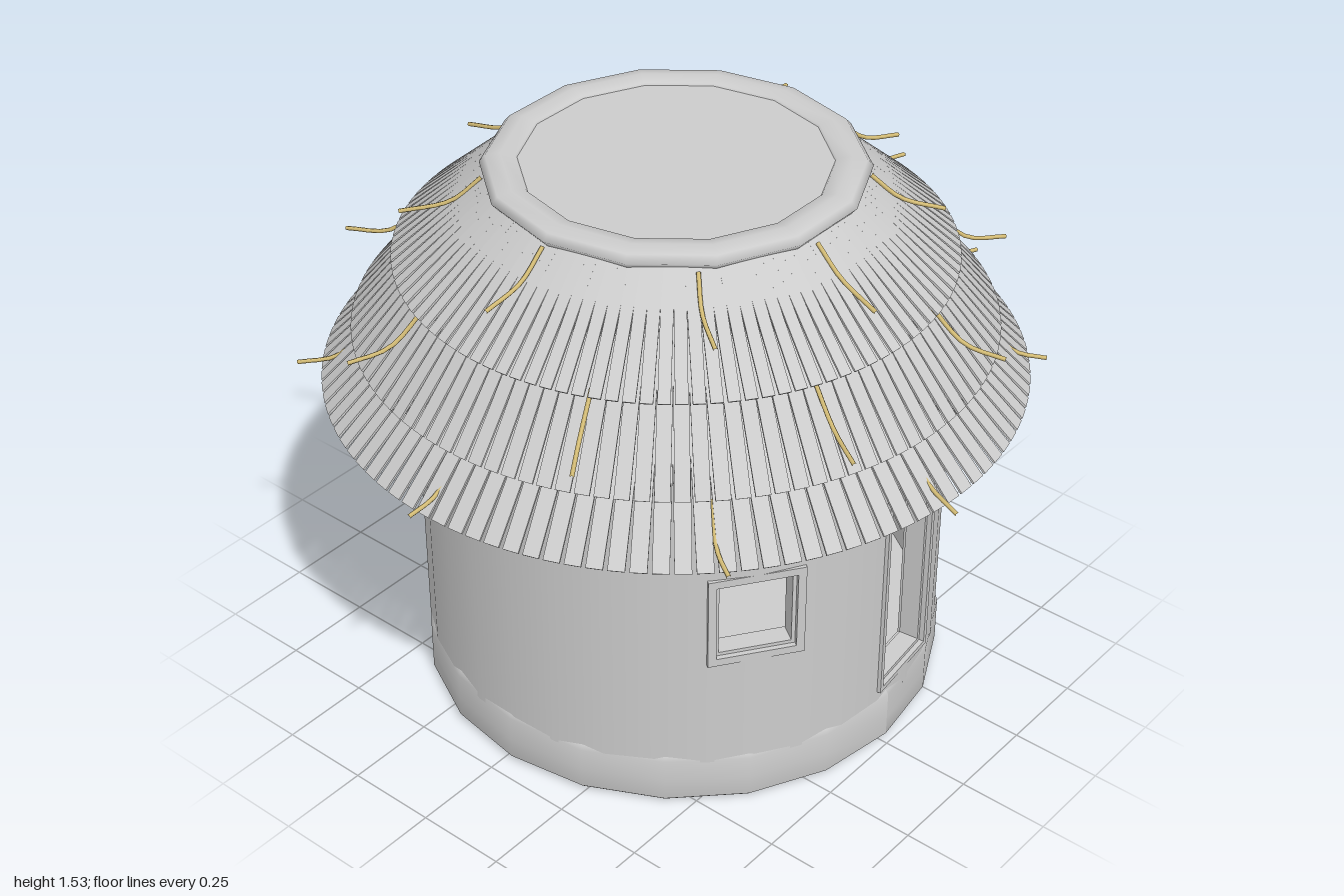
import * as THREE from 'three';
import { mergeGeometries } from 'three/addons/utils/BufferGeometryUtils.js';

const grey = new THREE.MeshStandardMaterial({ color: 0xcccccc, side: THREE.DoubleSide });
const straw = new THREE.MeshStandardMaterial({ color: 0xd8c078 });

const WALL_R = 0.705, INNER_R = 0.655, WALL_Y0 = 0.13, WALL_Y1 = 1.1;

// Openings: angle from the front towards +x, outer frame width, bottom and top
const openings = [
  { name: 'rightWindow', a: -0.61, w: 0.255, y0: 0.46, y1: 0.73, rim: 0.022 },
  { name: 'door', a: 0.12, w: 0.25, y0: 0.18, y1: 0.84, rim: 0.014 },
  { name: 'leftWindow', a: 0.895, w: 0.255, y0: 0.46, y1: 0.73, rim: 0.022 },
];

function add(parent, name, geometry, material = grey) {
  const mesh = new THREE.Mesh(geometry, material);
  mesh.name = name;
  parent.add(mesh);
  return mesh;
}

// Outer and inner skin of a stretch of round wall
function wallPanel(a0, a1, y0, y1) {
  const n = Math.max(2, Math.ceil((a1 - a0) / 0.2));
  return [WALL_R, INNER_R].map(r =>
    new THREE.CylinderGeometry(r, r, y1 - y0, n, 1, true, a0, a1 - a0).translate(0, (y0 + y1) / 2, 0));
}

function buildWall() {
  const parts = [];
  openings.forEach((o, i) => {
    const half = Math.asin(o.w / 2 / WALL_R) - 0.004;
    const next = openings[(i + 1) % openings.length];
    const nextA = next.a + (i === openings.length - 1 ? Math.PI * 2 : 0);
    const nextHalf = Math.asin(next.w / 2 / WALL_R) - 0.004;
    parts.push(...wallPanel(o.a - half, o.a + half, WALL_Y0, o.y0 + 0.004));
    parts.push(...wallPanel(o.a - half, o.a + half, o.y1 - 0.004, WALL_Y1));
    parts.push(...wallPanel(o.a + half, nextA - nextHalf, WALL_Y0, WALL_Y1));
  });
  return mergeGeometries(parts);
}

// Rectangular frame with an open middle, front face at z = front
function frameGeometry(w, h, rim, front, depth) {
  const rect = (path, x, y) => path.moveTo(-x, -y).lineTo(x, -y).lineTo(x, y).lineTo(-x, y).closePath();
  const shape = rect(new THREE.Shape(), w / 2, h / 2);
  shape.holes.push(rect(new THREE.Path(), w / 2 - rim, h / 2 - rim));
  return new THREE.ExtrudeGeometry(shape, { depth, bevelEnabled: false }).translate(0, 0, front - depth);
}

function buildFrame(o) {
  const frame = new THREE.Group();
  frame.name = o.name + 'Frame';
  const h = o.y1 - o.y0;
  add(frame, 'outerFrame', frameGeometry(o.w, h, o.rim, 0.704, 0.08));
  // Stepped inner frame, set back
  const inset = o.rim * 2 - 0.004;
  add(frame, 'innerFrame', frameGeometry(o.w - inset, h - inset, 0.012, 0.69, 0.055));
  frame.position.y = (o.y0 + o.y1) / 2;
  const holder = new THREE.Group();
  holder.name = o.name;
  holder.rotation.y = o.a;
  holder.add(frame);
  return holder;
}

// Plinth ring, open below, with an uneven upper lip
function buildPlinth() {
  const profile = [[0.688, 0.14], [0.685, 0.0], [0.7, 0.0], [0.712, 0.012], [0.712, 0.07], [0.712, 0.14], [0.7, 0.155]]
    .map(([r, y]) => new THREE.Vector2(r, y));
  const geometry = new THREE.LatheGeometry(profile, 20);
  const p = geometry.attributes.position;
  for (let i = 0; i < p.count; i++) {
    const a = Math.atan2(p.getX(i), p.getZ(i));
    if (i % profile.length > 4) p.setY(i, p.getY(i) + 0.006 * Math.sin(3 * a + 1) + 0.004 * Math.cos(7 * a));
  }
  geometry.computeVertexNormals();
  return geometry;
}

// Ring of constant-width slats running down from (r0, y0) to (r1, y1)
function thatchTier({ r0, y0, r1, y1, width }) {
  const count = 110, slats = [];
  const length = Math.hypot(r1 - r0, y0 - y1);
  const slope = Math.atan2(y0 - y1, r1 - r0);
  for (let i = 0; i < count; i++) {
    slats.push(new THREE.BoxGeometry(width, 0.006, length)
      .rotateX(slope)
      .translate(0, (y0 + y1) / 2, (r0 + r1) / 2)
      .rotateY(i / count * Math.PI * 2));
  }
  return mergeGeometries(slats);
}

// Loose stalk that follows the slope and then flares outwards
function stalkGeometry(path, degrees, i) {
  const sway = 0.02 * Math.sin(i * 2.3);
  const curve = new THREE.CatmullRomCurve3(path.map(([r, y], k) =>
    new THREE.Vector3(k === 2 ? sway : 0, y, r + (k === 2 ? 0.012 * Math.sin(i * 4.1) : 0))));
  // Angles are measured from +x towards +z
  return new THREE.TubeGeometry(curve, 8, 0.006, 5).rotateY(Math.PI / 2 - degrees * Math.PI / 180);
}

export function createModel() {
  const model = new THREE.Group();
  model.name = 'thatchedHut';

  // Round body with floor, door and windows
  const body = new THREE.Group();
  body.name = 'body';
  body.position.set(0.02, 0, 0.02);
  add(body, 'wall', buildWall());
  add(body, 'plinth', buildPlinth());
  add(body, 'floor', new THREE.CylinderGeometry(0.69, 0.69, 0.015, 20).translate(0, 0.14, 0));
  openings.forEach(o => body.add(buildFrame(o)));
  model.add(body);

  // Three overlapping thatch tiers
  const roof = new THREE.Group();
  roof.name = 'roof';
  roof.position.set(0.015, 0, 0);
  add(roof, 'upperThatch', thatchTier({ r0: 0.455, y0: 1.505, r1: 0.728, y1: 1.27, width: 0.0315 }));
  add(roof, 'middleThatch', thatchTier({ r0: 0.56, y0: 1.405, r1: 0.842, y1: 1.07, width: 0.038 }));
  add(roof, 'lowerThatch', thatchTier({ r0: 0.62, y0: 1.235, r1: 0.928, y1: 0.923, width: 0.042 }));

  // Flattened crown ring and its lid
  add(roof, 'crownRing', new THREE.TorusGeometry(0.443, 0.054, 8, 14)
    .rotateX(Math.PI / 2).scale(1, 0.48, 1).translate(0, 1.504, 0));
  add(roof, 'crownLid', new THREE.CylinderGeometry(0.42, 0.42, 0.01, 14).translate(0, 1.512, 0));

  // Loose stalks on each tier
  const aligned = [-93, -55, -16, 20, 53, 96, 134, 181, 226];
  const between = [-75, -37, 3, 37, 75, 112, 157, 204, 246];
  const stalkRows = [
    ['upperStalk', aligned, [[0.49, 1.485], [0.57, 1.42], [0.69, 1.39]]],
    ['middleStalk', between, [[0.69, 1.27], [0.79, 1.18], [0.905, 1.16]]],
    ['lowerStalk', aligned, [[0.8, 1.045], [0.89, 0.965], [0.98, 0.945]]],
  ];
  for (const [name, angles, path] of stalkRows) {
    angles.forEach((deg, i) => add(roof, name, stalkGeometry(path, deg, i), straw));
  }
  model.add(roof);
  return model;
}
